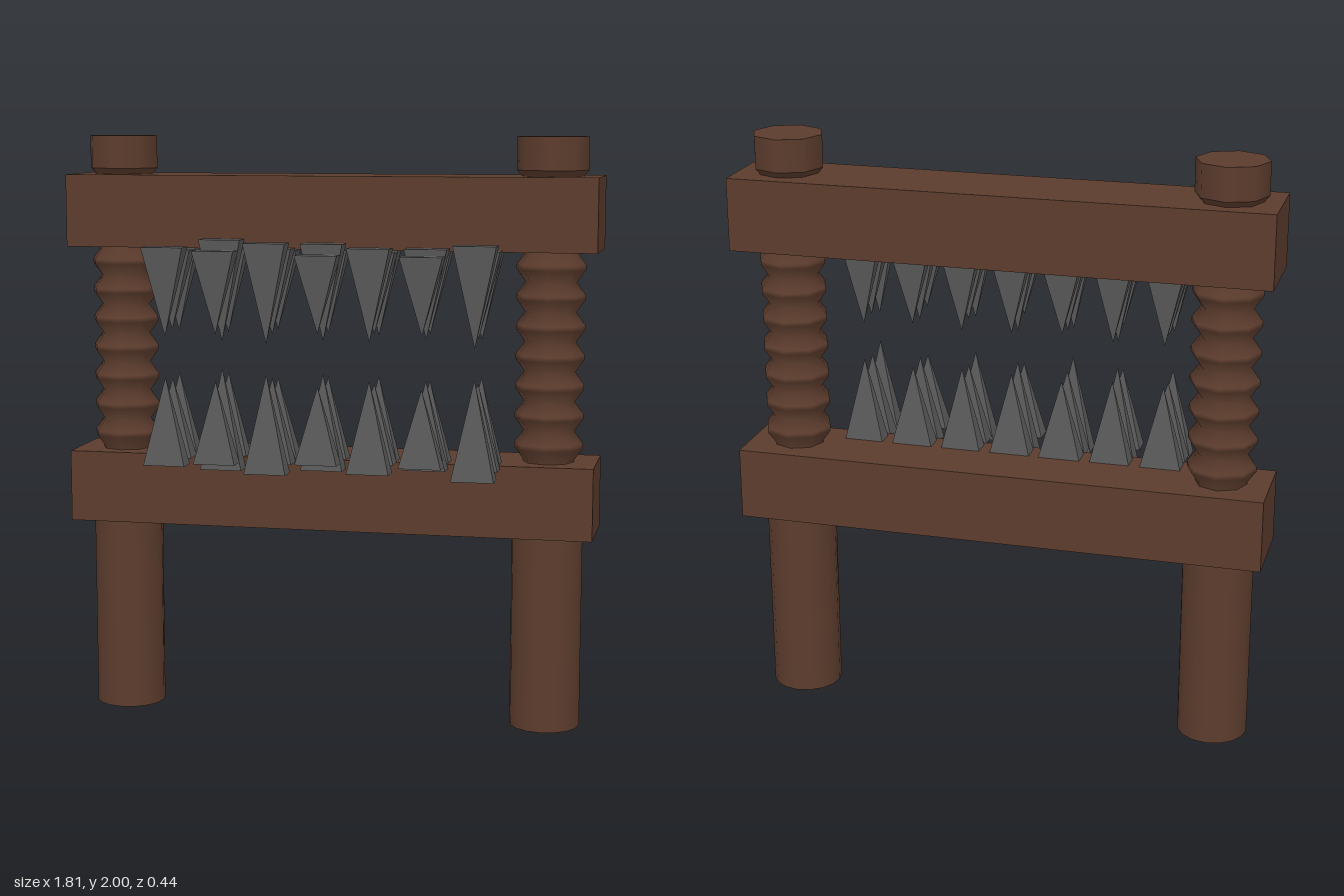
import * as THREE from 'three';

export function createModel() {
  const group = new THREE.Group();
  const wood = new THREE.MeshStandardMaterial({ color: 0x5c3c2d });
  wood.name = 'dark wood';
  const iron = new THREE.MeshStandardMaterial({ color: 0x5a5a5a, flatShading: true });
  iron.name = 'grey iron';

  const add = (name, geometry, material, x, y, z) => {
    const mesh = new THREE.Mesh(geometry, material);
    mesh.name = name;
    mesh.position.set(x, y, z);
    group.add(mesh);
    return mesh;
  };

  const Z = -0.075; // depth of the frame's centre line

  // Two horizontal beams
  const beam = new THREE.BoxGeometry(1.81, 0.245, 0.29);
  add('lowerBeam', beam, wood, 0, 0.793, Z);
  add('upperBeam', beam, wood, 0, 1.747, Z);

  // Threaded section: a zigzag profile turned around the post
  const threads = 7, bottom = 0.9, top = 1.64;
  const pitch = 0.1;
  const start = 0.92;
  const profile = [new THREE.Vector2(0.095, bottom)];
  for (let i = 0; i < threads; i++) {
    const y = start + i * pitch;
    profile.push(
      new THREE.Vector2(0.086, y),
      new THREE.Vector2(0.116, y + pitch * 0.42),
      new THREE.Vector2(0.116, y + pitch * 0.58));
  }
  profile.push(new THREE.Vector2(0.086, start + threads * pitch), new THREE.Vector2(0.095, top));
  const screw = new THREE.LatheGeometry(profile, 8);

  // Posts: round leg, screw thread and eight-sided cap with a bevelled foot
  const leg = new THREE.CylinderGeometry(0.12, 0.12, 0.7, 16);
  const cap = new THREE.CylinderGeometry(0.12, 0.12, 0.11, 8);
  const bevel = new THREE.CylinderGeometry(0.12, 0.1, 0.025, 8, 1, true);
  for (const [side, x] of [['right', -0.741], ['left', 0.741]]) {
    add(side + 'Leg', leg, wood, x, 0.35, -0.07);
    add(side + 'ScrewThread', screw, wood, x, 0, -0.07);
    add(side + 'Cap', cap, wood, x, 1.945, -0.07);
    add(side + 'CapBevel', bevel, wood, x, 1.878, -0.07);
  }

  // Spikes: three rows of seven four-sided points on each beam
  const spike = new THREE.ConeGeometry(Math.SQRT1_2, 1, 4, 1).toNonIndexed();
  spike.rotateY(Math.PI / 4);
  spike.computeVertexNormals();
  const rows = [0.187, 0.1, 0.017];
  const heights = [
    [0.30, 0.28, 0.335, 0.26, 0.31, 0.26, 0.335],
    [0.27, 0.345, 0.29, 0.325, 0.27, 0.30, 0.29],
    [0.29, 0.30, 0.27, 0.29, 0.30, 0.28, 0.31],
  ];
  rows.forEach((z, r) => {
    for (let c = 0; c < 7; c++) {
      const x = (c - 3) * 0.1745;
      const h = heights[r][c];
      const lower = add('lowerSpike', spike, iron, x, 1.05, z);
      lower.scale.set(0.143, h, 0.07);
      const upper = add('upperSpike', spike, iron, x, 1.485, z);
      upper.scale.set(0.143, h, 0.07);
      upper.rotation.x = Math.PI;
    }
  });

  return group;
}
